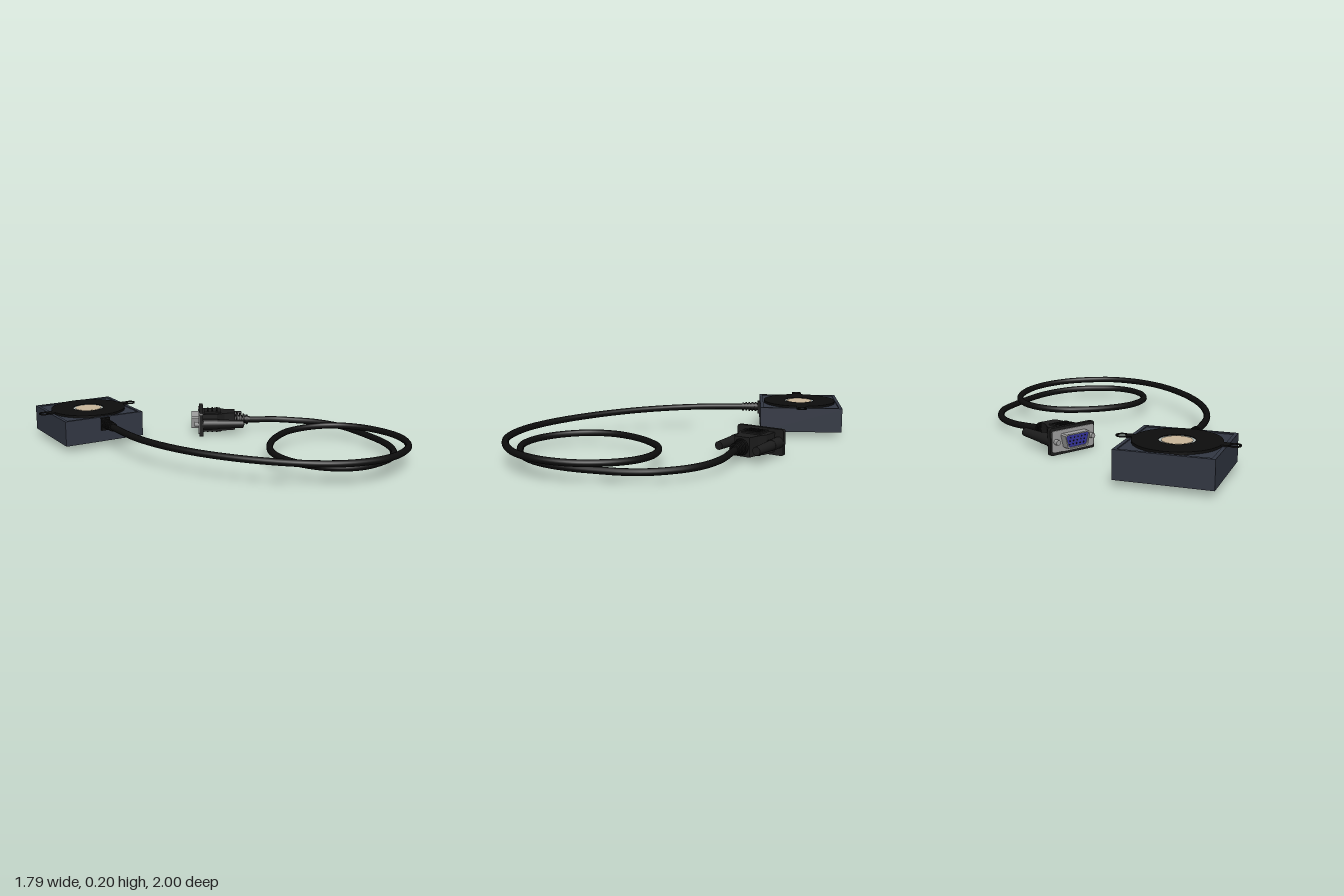
import * as THREE from 'three';

const mat = (color) => new THREE.MeshStandardMaterial({ color });
const BLACK = mat(0x0d0d0d), HOOD = mat(0x1c1c1c), CASE = mat(0x323743), METAL = mat(0xa0a0a0);
const SILVER = mat(0xb4bebb), TAN = mat(0xcab79a), BLUE = mat(0x35349a), RIB = mat(0x121212);

function add(parent, name, geometry, material, x = 0, y = 0, z = 0) {
  const mesh = new THREE.Mesh(geometry, material);
  mesh.name = name;
  mesh.position.set(x, y, z);
  parent.add(mesh);
  return mesh;
}
const box = (w, h, d) => new THREE.BoxGeometry(w, h, d);
const disc = (r, h, n = 48) => new THREE.CylinderGeometry(r, r, h, n);
const polygon = (pts) => new THREE.Shape(pts.map(([x, y]) => new THREE.Vector2(x, y)));
const extrude = (shape, depth) => new THREE.ExtrudeGeometry(shape, { depth, bevelEnabled: false, curveSegments: 20 });
// Cylinder lying along local x, from radius r0 (-x end) to r1 (+x end)
const rod = (r0, r1, len, n = 20) => new THREE.CylinderGeometry(r1, r0, len, n).rotateZ(-Math.PI / 2);

// Rounded rectangle or D-shaped outline
function roundedRect(w, h, r) {
  const s = new THREE.Shape(), x = w / 2, y = h / 2;
  s.moveTo(-x + r, -y);
  s.lineTo(x - r, -y); s.quadraticCurveTo(x, -y, x, -y + r);
  s.lineTo(x, y - r); s.quadraticCurveTo(x, y, x - r, y);
  s.lineTo(-x + r, y); s.quadraticCurveTo(-x, y, -x, y - r);
  s.lineTo(-x, -y + r); s.quadraticCurveTo(-x, -y, -x + r, -y);
  return s;
}
function dShape(w, h) {
  const a = w / 2, b = w / 2 - 0.016, y = h / 2, c = 0.008;
  return polygon([[-b + c, -y], [b - c, -y], [b, -y + c], [a, y - c], [a - c, y], [-a + c, y], [-a, y - c], [-b, -y + c]]);
}

function createSensor() {
  const g = new THREE.Group();
  g.name = 'sensorHousing';
  g.position.set(-0.57, 0, -0.74);
  add(g, 'housing', box(0.52, 0.15, 0.52), CASE, 0, 0.115, 0);
  // Raised rim around the top
  const rim = polygon([[-0.26, -0.26], [0.26, -0.26], [0.26, 0.26], [-0.26, 0.26]]);
  rim.holes.push(polygon([[-0.24, -0.24], [-0.24, 0.24], [0.24, 0.24], [0.24, -0.24]]));
  add(g, 'housingRim', extrude(rim, 0.006).rotateX(-Math.PI / 2), CASE, 0, 0.19, 0);
  // Round face with a shallow window
  const face = new THREE.Shape().absarc(0, 0, 0.235, 0, Math.PI * 2);
  face.holes.push(new THREE.Path().absarc(0, 0, 0.095, 0, Math.PI * 2, true));
  add(g, 'facePlate', extrude(face, 0.014).rotateX(-Math.PI / 2), BLACK, 0, 0.19, 0);
  add(g, 'windowRing', disc(0.095, 0.01), SILVER, 0, 0.195, 0);
  add(g, 'window', disc(0.082, 0.012), TAN, 0, 0.196, 0);
  // Mounting ears
  for (const s of [-1, 1]) {
    const ring = new THREE.Shape().absarc(0, 0, 0.033, 0, Math.PI * 2);
    ring.holes.push(new THREE.Path().absarc(0, 0, 0.026, 0, Math.PI * 2, true));
    add(g, 'earRing', extrude(ring, 0.008).rotateX(-Math.PI / 2), BLACK, s * 0.297, 0.196, 0);
    add(g, 'earArm', box(0.05, 0.008, 0.06), BLACK, s * 0.247, 0.2, 0);
  }
  // Cable strain relief
  add(g, 'reliefBase', box(0.056, 0.08, 0.02), BLACK, 0, 0.152, 0.266);
  add(g, 'reliefCore', new THREE.CylinderGeometry(0.021, 0.026, 0.12, 16).rotateX(Math.PI / 2), BLACK, 0, 0.155, 0.32);
  for (let i = 0; i < 5; i++)
    add(g, 'reliefRib', disc(0.032 - i * 0.001, 0.011, 16).rotateX(Math.PI / 2), RIB, 0, 0.155, 0.29 + i * 0.021);
  return g;
}

// Plug: local +x runs along the outgoing cable, local z across the plug
function createPlug() {
  const g = new THREE.Group();
  g.name = 'plug';
  g.position.set(0.362, 0.084, -0.341);
  g.rotation.y = -Math.PI / 6;
  const across = (shape, d) => extrude(shape, d).rotateY(-Math.PI / 2);
  add(g, 'flange', across(roundedRect(0.31, 0.158, 0.015), 0.025), HOOD, -0.262, 0, 0);
  add(g, 'metalPlate', across(roundedRect(0.29, 0.125, 0.015), 0.008), METAL, -0.285, 0, 0);
  // Metal shell and socket insert
  const shell = dShape(0.175, 0.084);
  shell.holes.push(dShape(0.161, 0.07));
  add(g, 'shell', across(shell, 0.05), METAL, -0.288, 0, 0);
  add(g, 'socketInsert', across(dShape(0.16, 0.069), 0.042), BLUE, -0.288, 0, 0);
  for (let row = 0; row < 3; row++)
    for (let i = 0; i < 5; i++)
      add(g, 'contactHole', rod(0.005, 0.005, 0.002, 8), BLACK, -0.3305, (row - 1) * 0.019, (i - 2) * 0.025 + (row - 1) * 0.005);
  // Hood tapering to the cable
  const side = [[-0.27, 0.098], [-0.17, 0.092], [-0.12, 0.066], [-0.05, 0.05]];
  const outline = polygon([...side.map(([x, z]) => [x, -z]), ...side.slice().reverse()]);
  add(g, 'hood', extrude(outline, 0.116).rotateX(-Math.PI / 2), HOOD, 0, -0.058, 0);
  for (const s of [-1, 1]) {
    add(g, 'hoodPanel', box(0.11, 0.014, 0.12), HOOD, -0.2, s * 0.06, 0);
    for (let i = 0; i < 3; i++)
      add(g, 'gripRidge', box(0.01, 0.008, 0.1), RIB, -0.23 + i * 0.03, s * 0.069, 0);
    // Thumbscrews
    add(g, 'screwSleeve', rod(0.034, 0.034, 0.1, 20), HOOD, -0.22, 0, s * 0.122);
    add(g, 'thumbscrew', rod(0.031, 0.025, 0.175, 20), HOOD, -0.085, 0, s * 0.124);
    add(g, 'screwNut', rod(0.016, 0.016, 0.03, 6), METAL, -0.305, 0, s * 0.122);
  }
  // Ribbed boot
  add(g, 'bootCore', rod(0.034, 0.022, 0.11), BLACK, -0.005, 0, 0);
  for (let i = 0; i < 4; i++)
    add(g, 'bootRib', rod(0.049 - i * 0.005, 0.047 - i * 0.005, 0.012), RIB, -0.035 + i * 0.022, 0, 0);
  return g;
}

function createCable() {
  // Plan path as x, z pairs
  const plan = [
    [-0.57, -0.44], [-0.57, -0.28], [-0.56, -0.1], [-0.53, 0.05], [-0.48, 0.2], [-0.41, 0.35], [-0.33, 0.48],
    [-0.24, 0.6], [-0.14, 0.71], [-0.03, 0.81], [0.07, 0.88], [0.18, 0.935], [0.29, 0.965], [0.41, 0.975],
    [0.52, 0.955], [0.63, 0.91], [0.72, 0.85], [0.79, 0.77], [0.84, 0.68], [0.868, 0.58], [0.873, 0.48],
    [0.855, 0.37], [0.82, 0.28], [0.765, 0.2], [0.69, 0.14], [0.6, 0.105], [0.5, 0.095], [0.4, 0.11],
    [0.3, 0.16], [0.21, 0.225], [0.13, 0.31], [0.07, 0.41], [0.045, 0.52], [0.05, 0.61], [0.08, 0.7],
    [0.13, 0.78], [0.2, 0.845], [0.28, 0.885], [0.37, 0.9], [0.47, 0.885], [0.58, 0.85], [0.67, 0.785],
    [0.74, 0.7], [0.79, 0.6], [0.82, 0.5], [0.84, 0.38], [0.855, 0.25], [0.853, 0.12], [0.825, 0.02],
    [0.77, -0.09], [0.69, -0.18], [0.58, -0.26], [0.47, -0.325], [0.36, -0.342],
  ];
  plan[plan.length - 1] = [0.37, -0.336];
  plan[plan.length - 2] = [0.455, -0.285];
  plan[plan.length - 2] = [0.46, -0.325 + 0.02];
  // Height keys: path index, y
  const keys = [[0, 0.155], [13, 0.135], [20, 0.112], [26, 0.097], [38, 0.085], [46, 0.065], [50, 0.068], [53, 0.084]];
  const height = (i) => {
    const k = Math.max(1, keys.findIndex(([n]) => n >= i));
    const [a, ya] = keys[k - 1], [b, yb] = keys[k];
    return ya + (yb - ya) * (i - a) / (b - a);
  };
  const curve = new THREE.CatmullRomCurve3(plan.map(([x, z], i) => new THREE.Vector3(x, height(i), z)));
  return new THREE.TubeGeometry(curve, 220, 0.02, 12);
}

export function createModel() {
  const model = new THREE.Group();
  model.name = 'sensorWithCable';
  model.add(createSensor(), createPlug());
  add(model, 'cable', createCable(), BLACK);
  return model;
}
